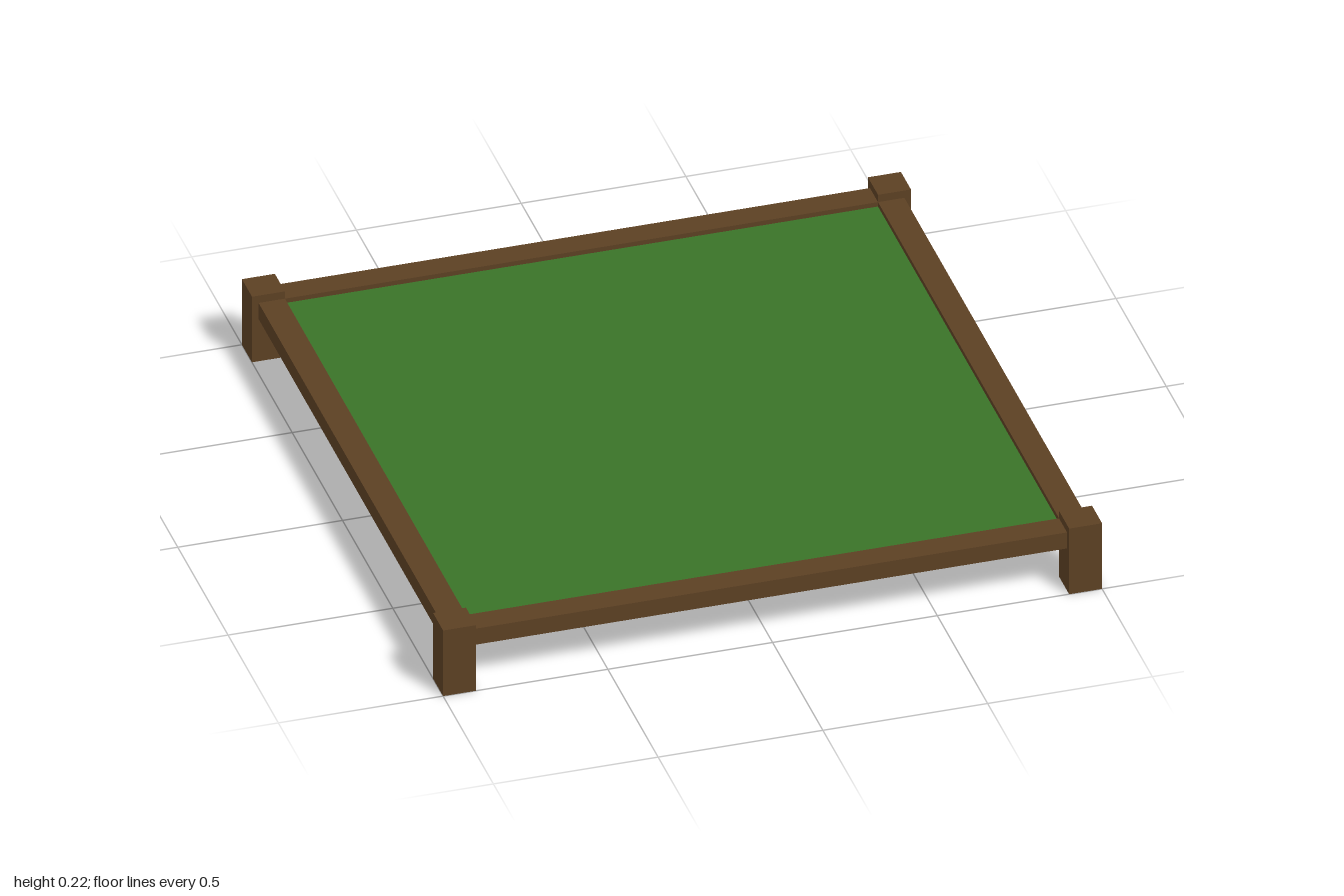
import * as THREE from 'three';

export function createModel() {
  const model = new THREE.Group();
  const wood = new THREE.MeshStandardMaterial({ color: 0x5c4023, flatShading: true });
  const grass = new THREE.MeshStandardMaterial({ color: 0x3a7328, flatShading: true });

  // Box given its size, centre x and z, and bottom height
  function addBox(parent, name, material, [w, h, d], x, bottom, z) {
    const mesh = new THREE.Mesh(new THREE.BoxGeometry(w, h, d), material);
    mesh.name = name;
    mesh.position.set(x, bottom + h / 2, z);
    parent.add(mesh);
    return mesh;
  }

  const inner = 0.9; // half width of the field inside the frame
  const railWidth = 0.08;
  const railBottom = 0.145;
  const railHeight = 0.055;
  const railCentre = inner + railWidth / 2;

  // Corner posts
  for (const x of [-0.95, 0.95]) {
    for (const z of [-0.95, 0.95]) {
      addBox(model, 'cornerPost', wood, [0.1, 0.225, 0.1], x, 0, z);
    }
  }

  // Rails between the posts
  for (const s of [-1, 1]) {
    addBox(model, s > 0 ? 'frontRail' : 'backRail', wood,
      [2 * inner, railHeight, railWidth], 0, railBottom, s * railCentre);
    addBox(model, s > 0 ? 'leftRail' : 'rightRail', wood,
      [railWidth, railHeight, 2 * inner], s * railCentre, railBottom, 0);
  }

  // Base board, flush with the underside of the rails
  addBox(model, 'baseBoard', wood, [2 * inner, 0.02, 2 * inner], 0, railBottom, 0);

  // Green square tiles, set a little below the rail tops
  const tiles = new THREE.Group();
  tiles.name = 'tiles';
  model.add(tiles);
  const count = 12;
  const size = (2 * inner) / count;
  for (let i = 0; i < count; i++) {
    for (let j = 0; j < count; j++) {
      addBox(tiles, 'tile', grass, [size, 0.02, size],
        -inner + (i + 0.5) * size, railBottom + 0.02, -inner + (j + 0.5) * size);
    }
  }

  return model;
}
